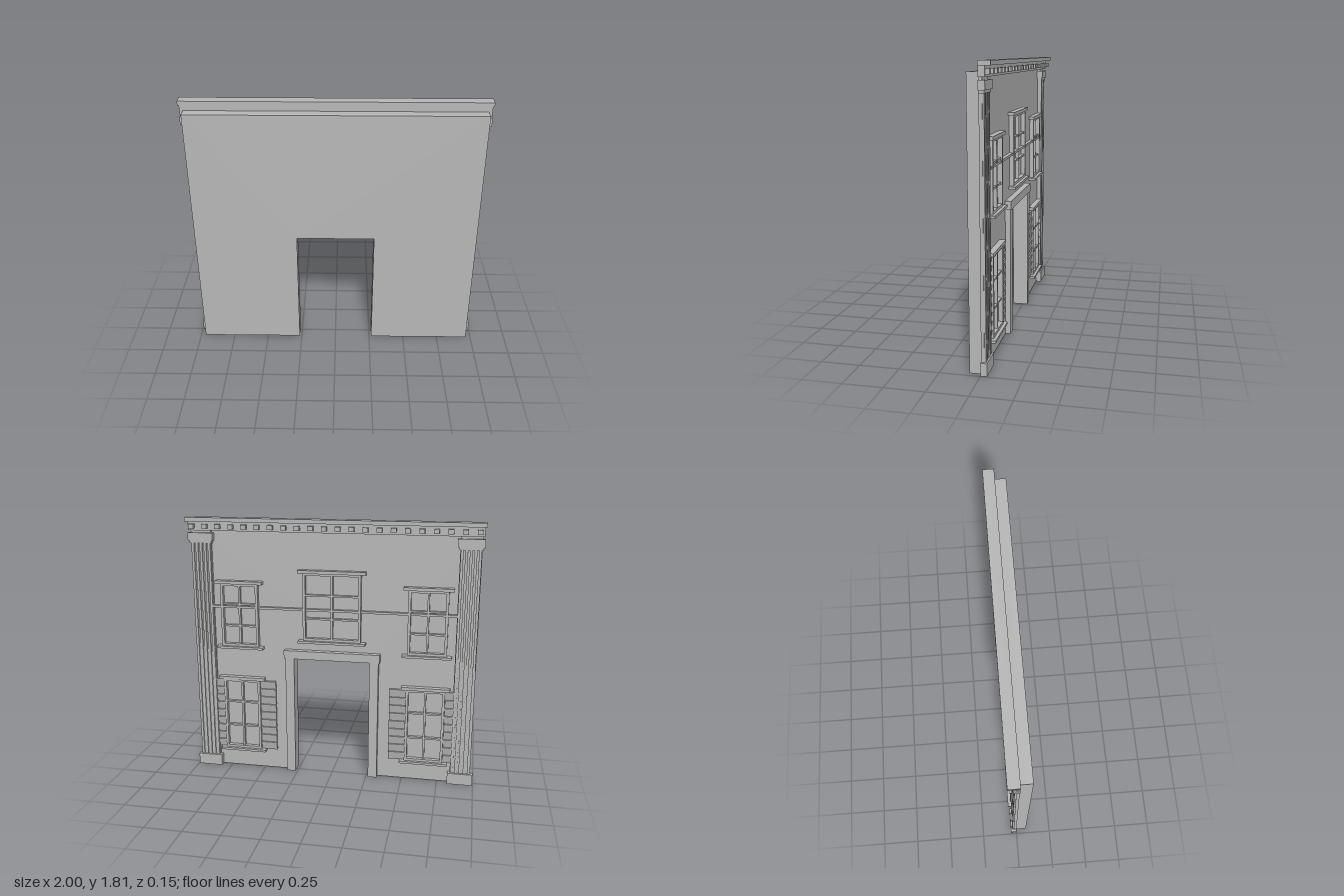
import * as THREE from 'three';

export function createModel() {
  const model = new THREE.Group();
  model.name = 'buildingFacade';
  const plaster = new THREE.MeshStandardMaterial({ color: 0xb8b8b8 });
  plaster.name = 'grey plaster';

  // Box given by its limits; depth is how far it stands out from the wall towards -z
  function block(parent, name, x0, x1, y0, y1, depth, from = 0) {
    const mesh = new THREE.Mesh(new THREE.BoxGeometry(x1 - x0, y1 - y0, depth - from), plaster);
    mesh.position.set((x0 + x1) / 2, (y0 + y1) / 2, -(depth + from) / 2);
    mesh.name = name;
    parent.add(mesh);
    return mesh;
  }
  function group(name) {
    const g = new THREE.Group();
    g.name = name;
    model.add(g);
    return g;
  }

  // Wall slab with the doorway cut out
  const outline = new THREE.Shape();
  [[-0.967, 0], [-0.265, 0], [-0.265, 0.85], [0.265, 0.85], [0.265, 0], [0.967, 0], [0.967, 1.75], [-0.967, 1.75]]
    .forEach(([x, y], i) => (i ? outline.lineTo(x, y) : outline.moveTo(x, y)));
  const wall = new THREE.Mesh(new THREE.ExtrudeGeometry(outline, { depth: 0.073, bevelEnabled: false }), plaster);
  wall.name = 'wall';
  model.add(wall);

  // Cornice with its row of dentils
  const cornice = group('cornice');
  block(cornice, 'corniceCap', -1, 1, 1.785, 1.812, 0.073);
  block(cornice, 'frieze', -0.99, 0.99, 1.722, 1.785, 0.038);
  const dentils = 22;
  for (let i = 0; i < dentils; i++) {
    const x = -0.96 + (1.92 * i) / (dentils - 1);
    block(cornice, 'dentil', x - 0.018, x + 0.018, 1.737, 1.767, 0.063, 0.038);
  }

  // Fluted corner pilasters
  for (const side of [-1, 1]) {
    const pilaster = group(side > 0 ? 'leftPilaster' : 'rightPilaster');
    const cx = side * 0.908;
    block(pilaster, 'base', cx - 0.087, cx + 0.087, 0, 0.08, 0.04);
    block(pilaster, 'shaft', cx - 0.07, cx + 0.07, 0.08, 1.722, 0.02);
    for (let i = -2; i <= 2; i++) {
      block(pilaster, 'rib', cx + i * 0.029 - 0.009, cx + i * 0.029 + 0.009, 0.08, 1.65, 0.03, 0.02);
    }
    block(pilaster, 'neck', cx - 0.077, cx + 0.077, 1.635, 1.652, 0.033);
    block(pilaster, 'capital', cx - 0.087, cx + 0.087, 1.652, 1.706, 0.04);
  }

  // Sash window: frame, two columns by three rows of panes, lintel and sill
  function windowUnit(name, cx, halfWidth, sillY, lintelY) {
    const g = group(name);
    const w = halfWidth, t = 0.018;
    for (const s of [-1, 1]) {
      const x = cx + s * (w - t / 2);
      block(g, 'frameSide', x - t / 2, x + t / 2, sillY, lintelY, 0.03);
    }
    block(g, 'frameTop', cx - w, cx + w, lintelY - 0.025, lintelY, 0.03);
    block(g, 'frameBottom', cx - w, cx + w, sillY, sillY + 0.025, 0.03);
    block(g, 'mullion', cx - 0.007, cx + 0.007, sillY, lintelY, 0.024);
    for (const k of [1, 2]) {
      const y = sillY + ((lintelY - sillY) * k) / 3;
      block(g, 'glazingBar', cx - w, cx + w, y - 0.006, y + 0.006, 0.022);
    }
    block(g, 'lintel', cx - w - 0.033, cx + w + 0.033, lintelY - 0.01, lintelY + 0.011, 0.04);
    block(g, 'sill', cx - w - 0.033, cx + w + 0.033, sillY - 0.008, sillY + 0.008, 0.05);
  }
  windowUnit('upperMiddleWindow', 0, 0.2, 0.975, 1.46);

  // Side windows, the lower ones with louvred shutters
  for (const side of [-1, 1]) {
    const label = side > 0 ? 'Left' : 'Right';
    const cx = side * 0.65;
    windowUnit('upper' + label + 'Window', cx, 0.133, 0.91, 1.37);
    windowUnit('lower' + label + 'Window', cx, 0.133, 0.14, 0.68);
    const shutters = group('lower' + label + 'Shutters');
    const slats = 9, pitch = 0.52 / slats;
    for (const s of [-1, 1]) {
      const x = cx + s * 0.19;
      for (let i = 0; i < slats; i++) {
        const y = 0.147 + i * pitch;
        const slat = block(shutters, 'slat', x - 0.056, x + 0.056, y, y + pitch, 0.018, 0.004);
        slat.rotation.x = -0.15;
      }
    }
  }

  // Thin band across the upper floor
  block(model, 'stringCourse', -0.85, 0.85, 1.19, 1.205, 0.026);

  // Doorway surround
  const doorway = group('doorSurround');
  for (const s of [-1, 1]) {
    const x = s * 0.295;
    block(doorway, 'jamb', x - 0.031, x + 0.031, 0, 0.85, 0.035);
  }
  block(doorway, 'header', -0.335, 0.335, 0.85, 0.908, 0.042);

  return model;
}
